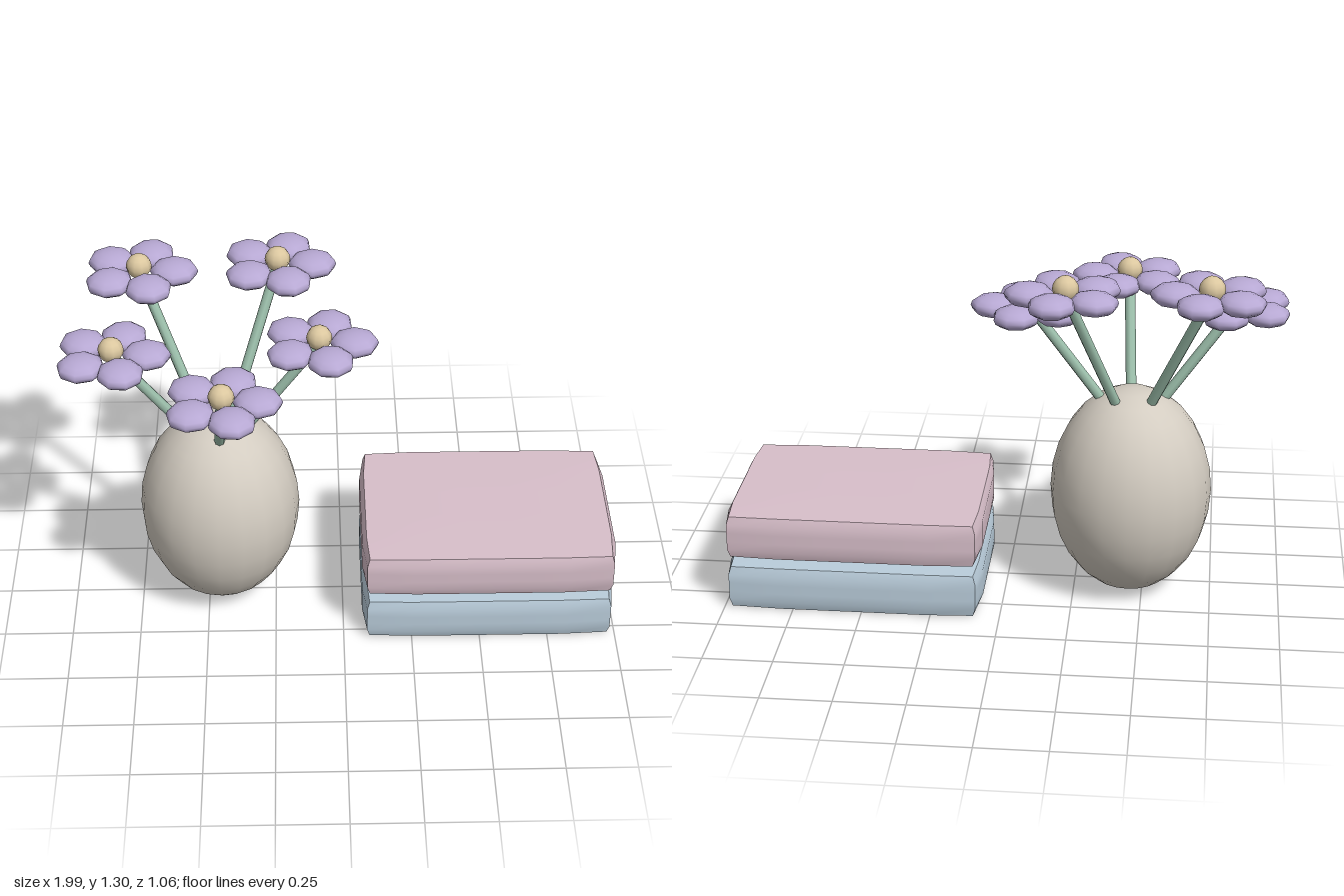
import * as THREE from 'three';
import { toCreasedNormals } from 'three/addons/utils/BufferGeometryUtils.js';

const mat = (name, color) => {
  const m = new THREE.MeshStandardMaterial({ color });
  m.name = name;
  return m;
};

const MATS = {
  vase: mat('warm grey ceramic', 0xd3ccc1),
  petal: mat('lilac', 0xb8a9d4),
  core: mat('soft yellow', 0xdcc8a0),
  stem: mat('sage green', 0x9cbfab),
  pink: mat('dusty pink', 0xd8bfca),
  blue: mat('pale blue', 0xbacddb),
};

function addMesh(parent, name, geometry, material, x = 0, y = 0, z = 0) {
  const mesh = new THREE.Mesh(geometry, material);
  mesh.name = name;
  mesh.position.set(x, y, z);
  parent.add(mesh);
  return mesh;
}

// Box with slightly bulging faces: each grid point is scaled onto a rounded-cube norm
function pillowBox(hx, hy, hz, power = 20) {
  const geo = new THREE.BoxGeometry(2, 2, 2, 5, 5, 5);
  const p = geo.attributes.position;
  const v = new THREE.Vector3();
  for (let i = 0; i < p.count; i++) {
    v.fromBufferAttribute(p, i);
    const sum = Math.abs(v.x) ** power + Math.abs(v.y) ** power + Math.abs(v.z) ** power;
    v.multiplyScalar(sum ** (-1 / power));
    p.setXYZ(i, v.x * hx, v.y * hy, v.z * hz);
  }
  return toCreasedNormals(geo, 0.7);
}

// Straight stem between two points
function addStem(parent, from, to, radius) {
  const dir = to.clone().sub(from);
  const geo = new THREE.CylinderGeometry(radius, radius, dir.length(), 8);
  const mesh = addMesh(parent, 'stem', geo, MATS.stem);
  mesh.position.copy(from).addScaledVector(dir, 0.5);
  mesh.quaternion.setFromUnitVectors(new THREE.Vector3(0, 1, 0), dir.normalize());
}

export function createModel() {
  const model = new THREE.Group();
  model.name = 'vaseAndBooks';
  const cx = -0.45, cz = -0.035;

  // Egg-shaped vase
  const vaseGeo = new THREE.SphereGeometry(1, 20, 14).scale(0.292, 0.39, 0.292);
  addMesh(model, 'vase', vaseGeo, MATS.vase, cx, 0.395, cz);

  // Five flowers fanning out of the vase
  const petalGeo = new THREE.SphereGeometry(1, 8, 8).scale(0.086, 0.04, 0.083);
  const coreGeo = new THREE.SphereGeometry(0.046, 10, 8);
  const stemBase = new THREE.Vector3(cx, 0.59, cz);
  const heads = [
    [-0.81, 1.083, 0.025],
    [-0.72, 1.233, -0.29],
    [-0.225, 1.233, -0.33],
    [-0.08, 1.083, -0.038],
    [-0.418, 1.083, 0.325],
  ];
  for (const [x, y, z] of heads) {
    const flower = new THREE.Group();
    flower.name = 'flower';
    addStem(flower, stemBase, new THREE.Vector3(x, y, z), 0.019);
    for (let i = 0; i < 5; i++) {
      const a = (i * Math.PI * 2) / 5;
      const petal = addMesh(flower, 'petal', petalGeo, MATS.petal,
        x + 0.125 * Math.cos(a), y, z - 0.125 * Math.sin(a));
      petal.rotation.y = a;
    }
    addMesh(flower, 'flowerCentre', coreGeo, MATS.core, x, y + 0.024, z);
    model.add(flower);
  }

  // Two stacked books
  const bookGeo = pillowBox(0.463, 0.083, 0.342);
  addMesh(model, 'lowerBook', bookGeo, MATS.blue, 0.533, 0.087, cz);
  addMesh(model, 'upperBook', bookGeo, MATS.pink, 0.533, 0.285, cz);

  return model;
}
